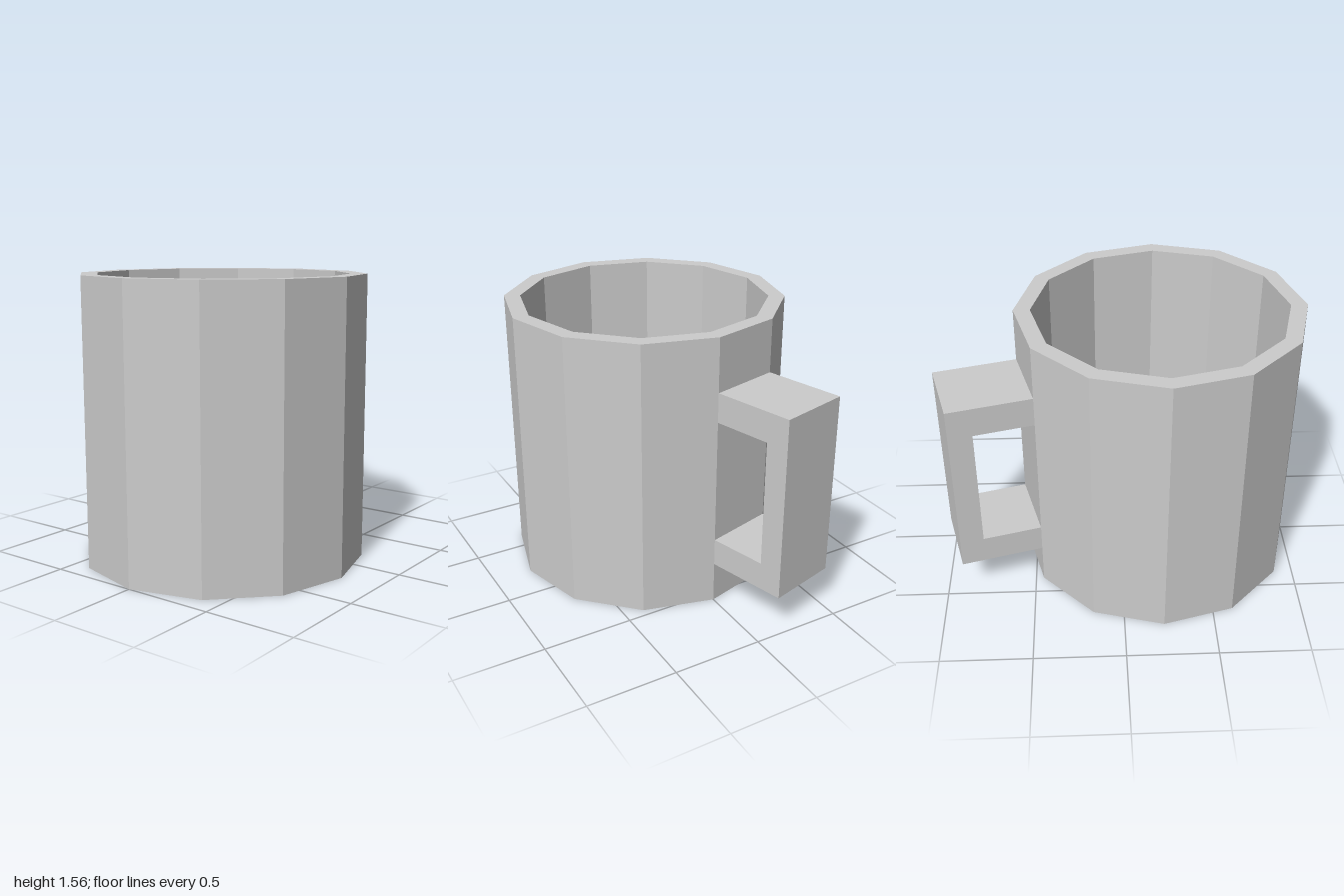
import * as THREE from 'three';

const SIDES = 12;
const RADIUS = 0.78;
const INNER = 0.69;
const HEIGHT = 1.56;
const FLOOR = 0.09;
const FACE_WIDTH = 2 * RADIUS * Math.sin(Math.PI / SIDES);
const APOTHEM = RADIUS * Math.cos(Math.PI / SIDES);

export function createModel() {
  const material = new THREE.MeshStandardMaterial({ color: 0xcccccc, flatShading: true });
  const mug = new THREE.Group();
  mug.name = 'mug';

  // Twelve-sided hollow cup: base, outer wall, rim, inner wall, inner floor
  const profile = [
    [0, 0], [RADIUS, 0], [RADIUS, HEIGHT], [INNER, HEIGHT], [INNER, FLOOR], [0, FLOOR],
  ].map(([r, y]) => new THREE.Vector2(r, y));
  const cup = new THREE.Mesh(new THREE.LatheGeometry(profile, SIDES), material);
  cup.name = 'cup';
  mug.add(cup);

  // Square C-shaped handle, as wide as the wall facet it grows from
  const root = APOTHEM - 0.02;
  const tip = APOTHEM + 0.456;
  const grip = tip - 0.13;
  const outline = new THREE.Shape([
    [root, 0.235], [tip, 0.235], [tip, 1.26], [root, 1.26],
    [root, 1.095], [grip, 1.095], [grip, 0.39], [root, 0.39],
  ].map(([d, y]) => new THREE.Vector2(d, y)));
  const handleGeometry = new THREE.ExtrudeGeometry(outline, { depth: FACE_WIDTH, bevelEnabled: false });
  handleGeometry.translate(0, 0, -FACE_WIDTH / 2);
  const handle = new THREE.Mesh(handleGeometry, material);
  handle.name = 'handle';
  handle.rotation.y = THREE.MathUtils.degToRad(105);
  mug.add(handle);

  // Shift forward so cup and handle together are centred
  mug.position.z = 0.22;
  const model = new THREE.Group();
  model.name = 'model';
  model.add(mug);
  return model;
}
